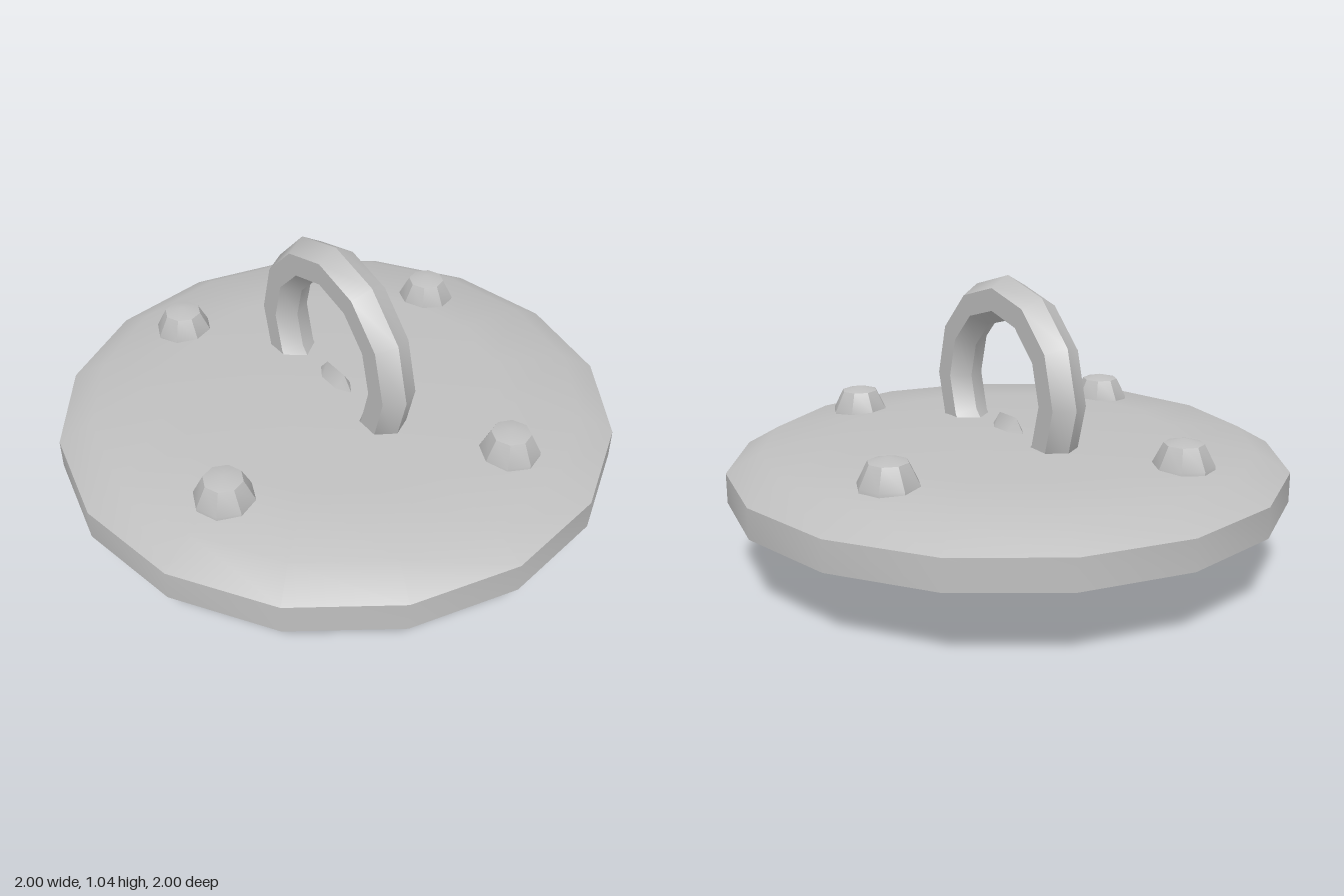
import * as THREE from 'three';
import { toCreasedNormals } from 'three/addons/utils/BufferGeometryUtils.js';

const CREASE = 0.69; // smooth around the rings, sharp across their facets

export function createModel() {
  const model = new THREE.Group();
  model.name = 'ringedPlate';

  const metal = new THREE.MeshStandardMaterial({ color: 0xbfbfbf });
  metal.name = 'grey metal';

  const add = (name, geometry, x = 0, y = 0, z = 0) => {
    const mesh = new THREE.Mesh(toCreasedNormals(geometry, CREASE), metal);
    mesh.name = name;
    mesh.position.set(x, y, z);
    model.add(mesh);
    return mesh;
  };
  const lathe = (profile, sides) =>
    new THREE.LatheGeometry(profile.map(([r, y]) => new THREE.Vector2(r, y)), sides);

  // Sixteen-sided plate: flat underside, upright rim, bevel and shallow dome
  add('plate', lathe([
    [0, 0.265], [1, 0.265], [1, 0.372], [0.88, 0.44],
    [0.6, 0.463], [0.3, 0.478], [0, 0.481],
  ], 16));

  // Large upright ring with a hexagonal section, sunk through the plate
  add('handleRing', new THREE.TorusGeometry(0.325, 0.08, 6, 12), 0, 0.63, 0);

  // Small stretched ring with a diamond section, hanging below
  add('lowerLoop', new THREE.TorusGeometry(0.13, 0.04, 4, 10).scale(1, 1.64, 1), 0, 0.265, 0);

  // Four faceted rivets, a quarter turn apart
  const rivetProfile = [[0.105, 0.43], [0.105, 0.46], [0.068, 0.533], [0, 0.55]];
  for (let i = 0; i < 4; i++) {
    const a = 0.403 + (i * Math.PI) / 2;
    add('rivet' + (i + 1), lathe(rivetProfile, 8), 0.69 * Math.cos(a), 0, -0.69 * Math.sin(a));
  }

  return model;
}
